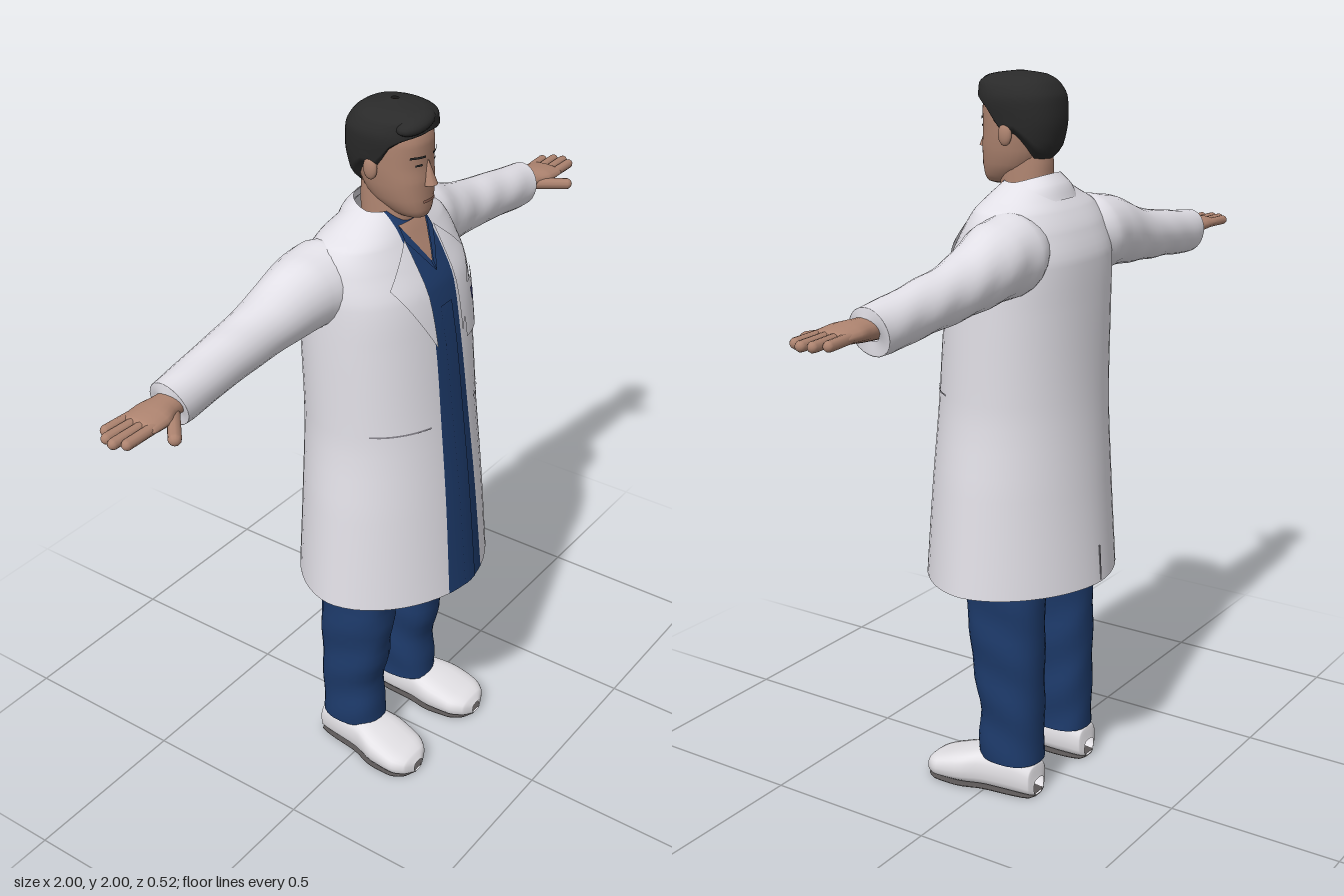
import * as THREE from 'three';
import { ParametricGeometry } from 'three/addons/geometries/ParametricGeometry.js';

const mat = (name, color) => {
  const m = new THREE.MeshStandardMaterial({ color, side: THREE.DoubleSide });
  m.name = name;
  return m;
};
const POWER = 2.3; // default roundness of the cross-sections
const bend = (v, power) => Math.sign(v) * Math.pow(Math.abs(v), 2 / power);

// Smooth interpolation without overshoot through rows keyed by their first column
function sample(rows, k) {
  let i = 0;
  while (i < rows.length - 2 && k > rows[i + 1][0]) i++;
  const slope = (j, c) => (rows[j + 1][c] - rows[j][c]) / (rows[j + 1][0] - rows[j][0]);
  const tangent = (j, c) => {
    if (j === 0) return slope(0, c);
    if (j === rows.length - 1) return slope(j - 1, c);
    const a = slope(j - 1, c), b = slope(j, c);
    return a * b <= 0 ? 0 : (2 * a * b) / (a + b);
  };
  const h = rows[i + 1][0] - rows[i][0];
  const t = Math.min(1, Math.max(0, (k - rows[i][0]) / h));
  return rows[i].map((v, c) => c === 0 ? k
    : v * (2 * t ** 3 - 3 * t * t + 1) + rows[i + 1][c] * (3 * t * t - 2 * t ** 3)
    + h * (tangent(i, c) * (t ** 3 - 2 * t * t + t) + tangent(i + 1, c) * (t ** 3 - t * t)));
}

// Loft: point(target, u, key, row) places each vertex
function loft(rows, point, slices = 28, per = 4) {
  const n = rows.length - 1;
  return new ParametricGeometry((u, v, p) => {
    const i = Math.min(Math.floor(v * n), n - 1);
    const k = rows[i][0] + (rows[i + 1][0] - rows[i][0]) * (v * n - i);
    point(p, u, k, sample(rows, k));
  }, slices, per * n);
}
// Upright cross-section: row = [y, halfWidth, zFront, zBack, centreX, power]
function ring(p, a, y, [, w, zf, zb, cx = 0, power = POWER]) {
  const m = (zf + zb) / 2;
  p.set(cx + w * bend(Math.sin(a), power), y, m + (zf - m) * bend(Math.cos(a), power));
}
const upright = (rows, slices, per) =>
  loft(rows, (p, u, y, r) => ring(p, u * Math.PI * 2, y, r), slices, per);

// Thin plate following the front of a lofted body; corners bl, br, tr, tl in x, y
function patch(rows, [bl, br, tr, tl], off) {
  const mix = (u, v, c) => (bl[c] * (1 - u) + br[c] * u) * (1 - v) + (tl[c] * (1 - u) + tr[c] * u) * v;
  return new ParametricGeometry((u, v, p) => {
    const x = mix(u, v, 0), y = mix(u, v, 1);
    const [, w, zf, zb, , power = POWER] = sample(rows, y);
    const m = (zf + zb) / 2;
    const q = Math.max(0, 1 - Math.pow(Math.abs(x / w), power));
    p.set(x, y, m + (zf - m) * Math.pow(q, 1 / power) + off);
  }, 8, 8);
}
const rect = (x0, x1, y0, y1) => [[x0, y0], [x1, y0], [x1, y1], [x0, y1]];

function mirrored(geo) {
  const g = geo.clone().scale(-1, 1, 1);
  const ix = g.index.array;
  for (let i = 0; i < ix.length; i += 3) [ix[i], ix[i + 1]] = [ix[i + 1], ix[i]];
  return g;
}
function limb(a, b, r) {
  const p = new THREE.Vector3(...a), q = new THREE.Vector3(...b), d = q.clone().sub(p);
  const g = new THREE.CapsuleGeometry(r, Math.max(0.001, d.length() - 2 * r), 4, 10);
  g.applyQuaternion(new THREE.Quaternion().setFromUnitVectors(new THREE.Vector3(0, 1, 0), d.normalize()));
  return g.translate((a[0] + b[0]) / 2, (a[1] + b[1]) / 2, (a[2] + b[2]) / 2);
}
const blob = (sx, sy, sz, x, y, z) => new THREE.SphereGeometry(1, 18, 12).scale(sx, sy, sz).translate(x, y, z);

export function createModel() {
  const model = new THREE.Group();
  model.name = 'coatedFigure';
  const coat = mat('coatWhite', 0xe2e0e7), blue = mat('scrubsBlue', 0x1d3a6a), badgeBlue = mat('badgeBlue', 0x35396e);
  const skin = mat('skin', 0xae8470), hair = mat('hairBlack', 0x2a2a2a), shoeWhite = mat('shoeWhite', 0xe4e2e6);
  const soleGrey = mat('soleGrey', 0x5a5656), seam = mat('seamGrey', 0x88858d), lip = mat('lipBrown', 0x96695a);
  const add = (name, geo, m) => {
    const mesh = new THREE.Mesh(geo, m);
    mesh.name = name;
    model.add(mesh);
  };
  const pair = (name, geo, m) => {
    add(name + 'Left', geo, m);
    add(name + 'Right', mirrored(geo), m);
  };

  // Coat body, open at the hem, with the scrubs showing down the front
  const body = [[0.63, 0.31, 0.26, -0.26, 0, 1.8], [0.9, 0.285, 0.235, -0.24, 0, 1.9],
    [1.16, 0.26, 0.205, -0.225, 0, 2.05], [1.4, 0.258, 0.175, -0.22, 0, 2.2], [1.52, 0.255, 0.15, -0.215, 0, 2.3],
    [1.6, 0.24, 0.11, -0.19, 0, 2.3], [1.65, 0.215, 0.08, -0.16, 0, 2.3],
    [1.68, 0.16, 0.062, -0.135, 0, 2.3], [1.72, 0.085, 0.03, -0.1, 0, 2.3]];
  const opening = [[0.63, 0.08], [1.2, 0.062], [1.4, 0.057], [1.6, 0.066], [1.72, 0.062]];
  const edge = (y, r) => Math.asin(Math.min(1, Math.pow(sample(opening, y)[1] / r[1], r[5] / 2)));
  add('coatBody', loft(body, (p, u, y, r) => {
    const a = edge(y, r);
    ring(p, a + u * (Math.PI * 2 - 2 * a), y, r);
  }, 48), coat);
  add('scrubsFront', loft(body, (p, u, y, r) => ring(p, edge(y, r) * (2 * u - 1), y, r), 10), blue);
  add('scrubsPlacket', patch(body, rect(-0.02, 0.03, 0.632, 1.48), 0.003), blue);
  add('neckOpening', patch(body, [[-0.003, 1.59], [0.003, 1.59], [0.056, 1.69], [-0.056, 1.69]], 0.004), skin);
  pair('scrubsNeckband', patch(body, [[0, 1.565], [0.004, 1.592], [0.058, 1.69], [0.062, 1.655]], 0.006), blue);
  add('backVent', new THREE.BoxGeometry(0.004, 0.1, 0.004).rotateX(0.06).translate(0, 0.685, -0.256), seam);

  // Collar and lapels
  const collar = [[0, 0.128, 0.085, -0.142], [0.5, 0.112, 0.075, -0.128], [1, 0.082, 0.05, -0.1]];
  add('collar', loft(collar, (p, u, k, r) => {
    const a = 0.68 + u * (Math.PI * 2 - 1.36);
    ring(p, a, 1.655 - 0.022 * Math.cos(a) + 0.064 * k, r);
  }, 32), coat);
  pair('lapel', patch(body, [[0.057, 1.38], [0.165, 1.565], [0.12, 1.61], [0.064, 1.66]], 0.008), coat);

  // Pockets and badge
  add('chestPocket', patch(body, [[0.08, 1.354], [0.205, 1.344], [0.211, 1.493], [0.08, 1.483]], 0.007), coat);
  add('badge', patch(body, [[0.137, 1.432], [0.151, 1.432], [0.157, 1.468], [0.131, 1.468]], 0.0105), badgeBlue);
  pair('sidePocketSeam', patch(body, rect(0.1, 0.235, 1.161, 1.166), 0.003), seam);

  // Sleeves: row = [x, centreY, halfHeight, centreZ, halfDepth]
  const sleeve = [[0.12, 1.56, 0.08, -0.08, 0.09], [0.2, 1.555, 0.106, -0.086, 0.11],
    [0.27, 1.549, 0.102, -0.092, 0.1], [0.46, 1.51, 0.075, -0.1, 0.074],
    [0.62, 1.49, 0.067, -0.097, 0.065], [0.775, 1.472, 0.062, -0.09, 0.058], [0.777, 1.475, 0.028, -0.087, 0.03]];
  const across = (fold) => (p, u, x, [, cy, ry, cz, rz]) => {
    const a = u * Math.PI * 2, s = 1 + fold * Math.sin(45 * x + 2 * a) * Math.cos(a - 1);
    p.set(x + (x > 0.6 ? fold * 3.6 * (x - 0.6) * Math.cos(a) : 0), cy + ry * s * Math.cos(a), cz + rz * s * Math.sin(a));
  };
  pair('sleeve', loft(sleeve, across(0.025), 24, 6), coat);

  // Hands with four fingers and a thumb
  const palm = [[0.74, 1.478, 0.03, -0.085, 0.036], [0.8, 1.48, 0.028, -0.081, 0.042],
    [0.85, 1.482, 0.024, -0.075, 0.055], [0.895, 1.482, 0.017, -0.074, 0.055], [0.91, 1.482, 0.004, -0.074, 0.045]];
  pair('palm', loft(palm, across(0), 18), skin);
  [[-0.112, 0.968, -0.12], [-0.087, 0.992, -0.095], [-0.062, 1, -0.067], [-0.037, 0.985, -0.039]].forEach(([z, tip, zt], i) =>
    pair('finger' + (i + 1), limb([0.86, 1.482, z], [tip, 1.48, zt], 0.0138), skin));
  pair('thumb', limb([0.79, 1.474, -0.065], [0.885, 1.462, 0.025], 0.0165), skin);

  // Trousers with light folds
  const leg = [[0.097, 0.02, 0, -0.09, 0.13], [0.099, 0.076, 0.048, -0.145, 0.13], [0.2, 0.077, 0.038, -0.145, 0.13],
    [0.4, 0.081, 0.068, -0.146, 0.13], [0.63, 0.086, 0.09, -0.145, 0.127], [0.85, 0.1, 0.11, -0.15, 0.105],
    [1, 0.1, 0.1, -0.14, 0.09]];
  pair('trouserLeg', loft(leg, (p, u, y, r) => {
    const a = u * Math.PI * 2;
    ring(p, a, y, r);
    p.x += 0.003 * Math.sin(38 * y + 2 * a);
    p.z += 0.003 * Math.sin(44 * y + a) * Math.max(0, Math.cos(a));
  }, 24, 6), blue);

  // Shoes: row = [z, centreX, halfWidth, height]
  const shoe = [[-0.147, 0.138, 0.025, 0.05], [-0.138, 0.138, 0.046, 0.09], [-0.08, 0.139, 0.059, 0.112],
    [0, 0.143, 0.066, 0.11], [0.08, 0.151, 0.083, 0.092], [0.145, 0.156, 0.079, 0.07],
    [0.185, 0.158, 0.056, 0.054], [0.202, 0.158, 0.02, 0.034]];
  const shoePart = (base, shrink, flat) => loft(shoe, (p, u, z, [, cx, w, h]) => {
    const a = u * Math.PI * 2, t = (flat || h) / 2;
    p.set(cx - (w - shrink) * bend(Math.sin(a), 3), base + t + t * bend(Math.cos(a), 3), z * (1 - shrink * 3));
  }, 24);
  pair('shoe', shoePart(0.004, 0, 0), shoeWhite);
  pair('sole', shoePart(0, 0.004, 0.009), soleGrey);

  // Neck and head
  add('neck', upright([[1.58, 0.07, 0.06, -0.08], [1.66, 0.063, 0.056, -0.085], [1.75, 0.059, 0.055, -0.088],
    [1.82, 0.055, 0.04, -0.08]]), skin);
  const head = [[1.703, 0.012, 0.085, 0.04], [1.71, 0.034, 0.1, 0.015], [1.73, 0.053, 0.107, -0.02],
    [1.76, 0.068, 0.109, -0.06], [1.8, 0.078, 0.109, -0.085], [1.85, 0.084, 0.105, -0.1],
    [1.9, 0.086, 0.106, -0.105], [1.95, 0.078, 0.09, -0.09], [1.98, 0.04, 0.05, -0.05]];
  add('head', upright(head), skin);
  const nose = new THREE.ConeGeometry(0.022, 0.07, 10).scale(0.85, 1, 0.9).rotateX(-0.12);
  add('nose', nose.translate(0, 1.832, 0.108), skin);
  pair('ear', blob(0.012, 0.03, 0.02, 0.091, 1.843, -0.006), skin);
  pair('eyebrow', patch(head, [[0.016, 1.872], [0.058, 1.874], [0.056, 1.88], [0.016, 1.878]], 0.004), hair);
  pair('eye', patch(head, [[0.024, 1.852], [0.046, 1.853], [0.044, 1.858], [0.026, 1.858]], 0.003), hair);
  add('mouth', patch(head, rect(-0.024, 0.024, 1.752, 1.76), 0.003), lip);

  // Hair shell whose lower edge follows the hairline, plus a swept fringe
  const shell = [[1.76, 0.06, 0.05, -0.085], [1.82, 0.087, 0.08, -0.113], [1.88, 0.1, 0.1, -0.122],
    [1.93, 0.106, 0.113, -0.118], [1.965, 0.095, 0.113, -0.1], [1.988, 0.066, 0.085, -0.068], [1.999, 0.008, 0.015, -0.005]];
  const hairline = [[0, 1.932], [0.7, 1.922], [1.15, 1.895], [1.38, 1.84], [1.65, 1.845], [1.9, 1.825], [2.4, 1.78], [Math.PI, 1.768]];
  add('hair', new ParametricGeometry((u, v, p) => {
    const a = u * Math.PI * 2;
    const low = sample(hairline, Math.min(a, Math.PI * 2 - a))[1];
    const y = low + (1.999 - low) * Math.sin(v * Math.PI / 2);
    ring(p, a, y, sample(shell, y));
    const s = Math.min(1, 0.86 + v * 2.2);
    p.x *= s;
    p.z *= s;
  }, 40, 20), hair);
  add('fringe', blob(0.066, 0.024, 0.04, 0, 0, 0).rotateZ(0.15).translate(-0.025, 1.962, 0.083), hair);
  return model;
}
